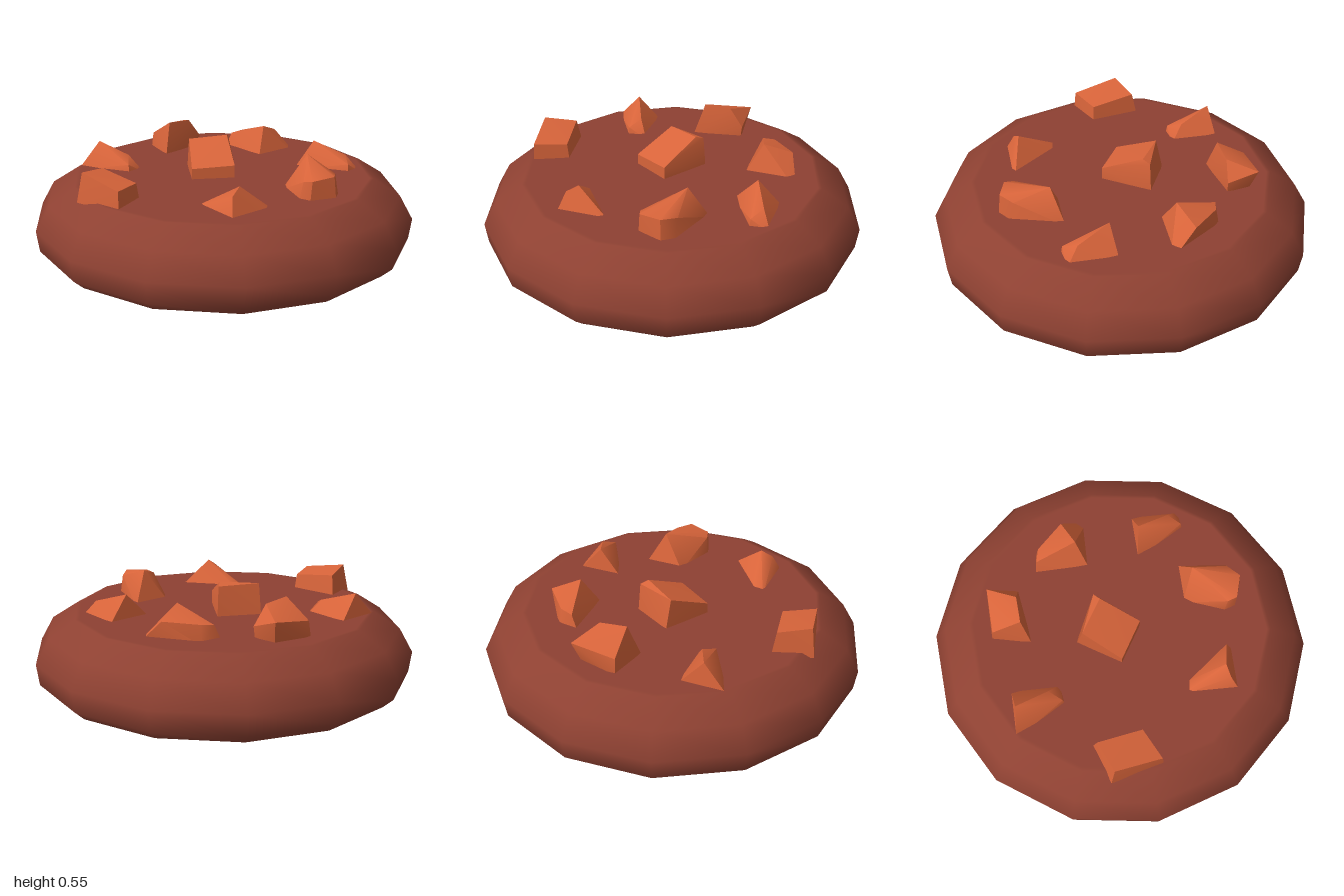
import * as THREE from 'three';
import { toCreasedNormals } from 'three/addons/utils/BufferGeometryUtils.js';
import { ConvexGeometry } from 'three/addons/geometries/ConvexGeometry.js';

const SIDES = 14;
const TOP = 0.375;
const BASE = 0.35; // chunks sink slightly into the biscuit

const dough = new THREE.MeshStandardMaterial({ color: 0x8e4132 });
dough.name = 'dough';
const chip = new THREE.MeshStandardMaterial({ color: 0xd8643a });
chip.name = 'chip';

function addMesh(parent, name, geometry, material) {
  const mesh = new THREE.Mesh(geometry, material);
  mesh.name = name;
  parent.add(mesh);
  return mesh;
}

// Convex nugget: a footprint of [x, z] at the base and raised corners [x, y, z]
function chunkGeometry({ foot, raised }) {
  const points = [
    ...foot.map(([x, z]) => new THREE.Vector3(x, BASE, z)),
    ...raised.map((p) => new THREE.Vector3(...p)),
  ];
  return toCreasedNormals(new ConvexGeometry(points), 0.75);
}

const chunks = {
  centreChunk: {
    foot: [[-0.14, -0.2], [0.09, -0.17], [0.03, 0.1], [-0.19, 0.06]],
    raised: [[0.06, 0.545, -0.12], [0.08, 0.53, -0.16], [-0.14, 0.53, -0.16],
      [-0.19, 0.43, 0.06], [0.03, 0.44, 0.1]],
  },
  frontChunk: {
    foot: [[-0.28, 0.4], [-0.22, 0.385], [0.07, 0.56], [0.05, 0.59], [-0.18, 0.68]],
    raised: [[-0.11, 0.495, 0.58], [-0.16, 0.46, 0.62]],
  },
  frontLeftChunk: {
    foot: [[0.22, 0.29], [0.42, 0.21], [0.44, 0.5], [0.4, 0.56], [0.26, 0.56], [0.22, 0.51]],
    raised: [[0.35, 0.53, 0.3], [0.24, 0.46, 0.52], [0.43, 0.47, 0.47],
      [0.39, 0.48, 0.55], [0.27, 0.47, 0.56]],
  },
  backLeftChunk: {
    foot: [[0.18, -0.51], [0.29, -0.54], [0.54, -0.36], [0.53, -0.33], [0.29, -0.24]],
    raised: [[0.35, 0.515, -0.33], [0.46, 0.46, -0.44], [0.22, 0.44, -0.51], [0.29, 0.45, -0.52]],
  },
  backChunk: {
    foot: [[-0.23, -0.63], [-0.03, -0.66], [0.03, -0.56], [-0.2, -0.42]],
    raised: [[-0.16, 0.54, -0.48], [-0.03, 0.53, -0.54], [-0.01, 0.485, -0.71],
      [-0.22, 0.45, -0.62], [0.04, 0.43, -0.56]],
  },
  frontRightChunk: {
    foot: [[-0.81, 0.16], [-0.65, 0.02], [-0.515, 0.25], [-0.65, 0.39]],
    raised: [[-0.78, 0.505, 0.17], [-0.655, 0.48, 0.05], [-0.53, 0.45, 0.25], [-0.65, 0.46, 0.38]],
  },
  leftChunk: {
    foot: [[0.4, 0], [0.64, -0.1], [0.73, 0.14], [0.64, 0.19]],
    raised: [[0.53, 0.495, -0.03], [0.66, 0.44, 0.1], [0.64, 0.41, 0.18]],
  },
};

export function createModel() {
  const model = new THREE.Group();
  model.name = 'biscuit';

  // Rounded body
  const profile = [[0.93, 0], [0.985, 0.05], [1, 0.16], [0.93, 0.285], [0.79, TOP], [0.77, TOP]]
    .map(([r, y]) => new THREE.Vector2(r, y));
  addMesh(model, 'rim', new THREE.LatheGeometry(profile, SIDES, Math.PI / 2), dough);

  // Flat top and underside
  const topFace = addMesh(model, 'topFace', new THREE.CircleGeometry(0.77, SIDES), dough);
  topFace.rotation.x = -Math.PI / 2;
  topFace.position.y = TOP;
  const underside = addMesh(model, 'underside', new THREE.CircleGeometry(0.93, SIDES), dough);
  underside.rotation.x = Math.PI / 2;

  // Scattered chunks
  for (const [name, shape] of Object.entries(chunks)) {
    addMesh(model, name, chunkGeometry(shape), chip);
  }

  // The back right chunk repeats the left one
  const repeat = addMesh(model, 'backRightChunk', chunkGeometry(chunks.leftChunk), chip);
  repeat.position.set(-1.11, 0, -0.36);

  return model;
}
